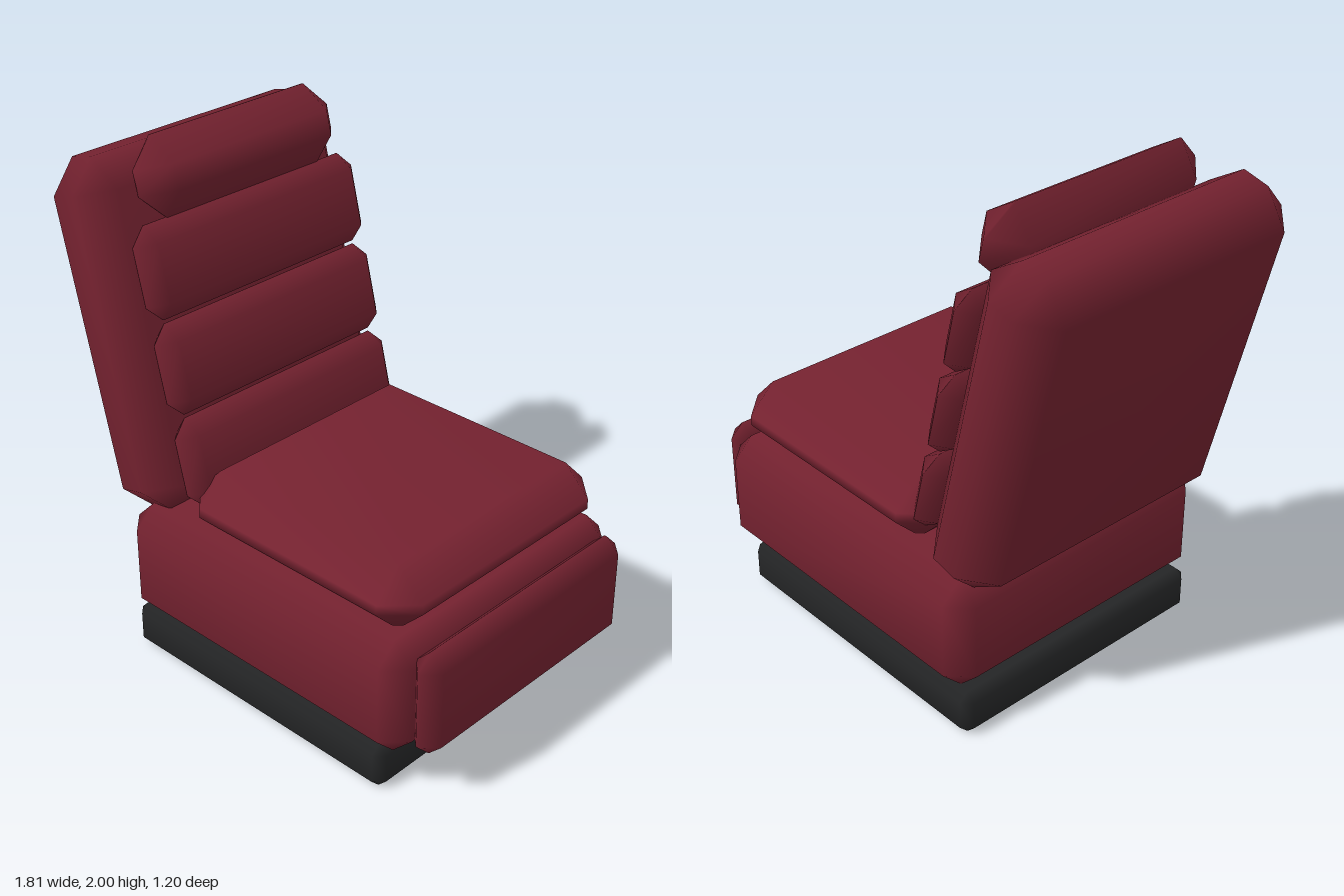
import * as THREE from 'three';
import { ConvexGeometry } from 'three/addons/geometries/ConvexGeometry.js';
import { mergeVertices } from 'three/addons/utils/BufferGeometryUtils.js';

const TILT = THREE.MathUtils.degToRad(14);

// Box with every edge cut by a chamfer c, smooth-shaded like a padded block
function chamferBox(w, h, d, c) {
  const half = [w / 2, h / 2, d / 2];
  const points = [];
  for (const sx of [-1, 1]) for (const sy of [-1, 1]) for (const sz of [-1, 1]) {
    for (let axis = 0; axis < 3; axis++) {
      // corner of the face on this axis, inset along the other two axes
      const p = [sx, sy, sz].map((s, i) => s * (half[i] - (i === axis ? 0 : c)));
      points.push(new THREE.Vector3(...p));
    }
  }
  const hull = new ConvexGeometry(points);
  hull.deleteAttribute('normal');
  const geometry = mergeVertices(hull, 1e-4);
  geometry.computeVertexNormals();
  return geometry;
}

export function createModel() {
  const group = new THREE.Group();
  const leather = new THREE.MeshStandardMaterial({ color: 0x752230 });
  const plinth = new THREE.MeshStandardMaterial({ color: 0x242526 });

  function add(name, size, chamfer, position, tilt = 0, material = leather) {
    const mesh = new THREE.Mesh(chamferBox(...size, chamfer), material);
    mesh.name = name;
    mesh.position.set(...position);
    mesh.rotation.z = tilt;
    group.add(mesh);
  }

  // Plinth and seat
  add('base', [1.26, 0.18, 1.13], 0.035, [0.08, 0.09, 0], 0, plinth);
  add('seatBlock', [1.36, 0.46, 1.2], 0.082, [0.13, 0.407, 0]);
  add('seatCushion', [1.06, 0.255, 1.1], 0.108, [0.25, 0.742, 0]);
  add('frontPanel', [0.12, 0.41, 1.06], 0.054, [0.845, 0.415, 0]);

  // Reclined backrest
  add('backrest', [0.33, 1.32, 1.2], 0.112, [-0.612, 1.257, 0], TILT);

  // Row of pads down the backrest
  for (let i = 0; i < 3; i++) {
    add('backPad' + (i + 1), [0.127, 0.338, 1.07], 0.062,
      [-0.443 + i * 0.083, 1.557 - i * 0.341, 0], TILT);
  }

  // Headrest
  add('headrest', [0.204, 0.29, 0.93], 0.099, [-0.517, 1.859, 0], TILT);

  return group;
}
